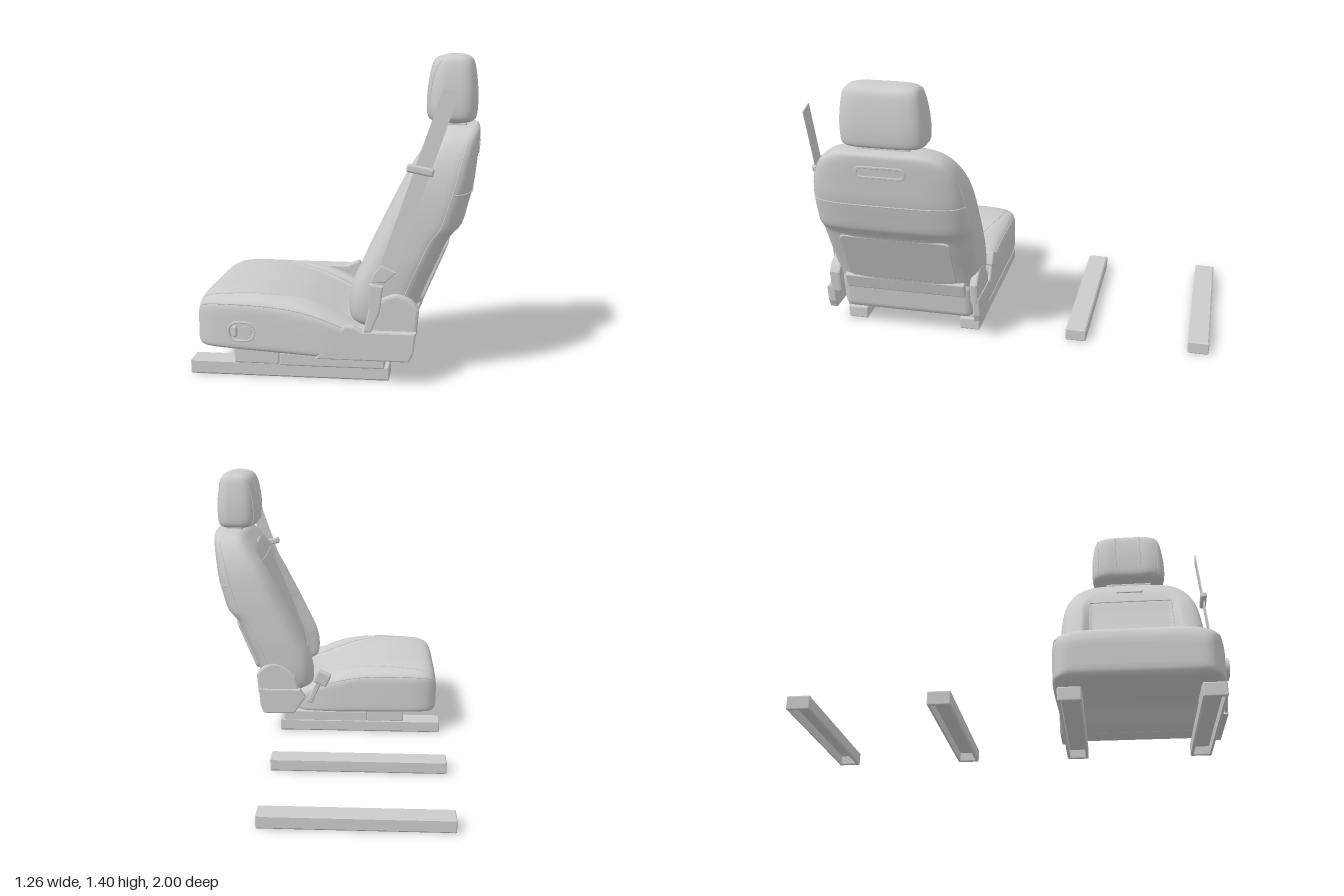
import * as THREE from 'three';
import { RoundedBoxGeometry } from 'three/addons/geometries/RoundedBoxGeometry.js';

const V = (x, y, z) => new THREE.Vector3(x, y, z);
const MID = 0.55; // z of the seat's centre plane
const smooth = THREE.MathUtils.smoothstep;

// Padded body: rows of [a, lo, hi, halfWidth, dent, insertHalfWidth] along an axis.
// The lo side carries a dented insert between two bolsters, the hi side may be hollowed.
class Body {
  constructor(rows, { nLo, nHi, hollow = () => 0, place = (v, a, w) => V(v, a, MID + w) }) {
    Object.assign(this, { rows, nLo, nHi, hollow, place });
  }
  rowAt(t) {
    const R = this.rows, last = R.length - 1, i = Math.min(Math.floor(t), last - 1), f = t - i;
    const at = k => R[Math.max(0, Math.min(last, k))];
    return R[i].map((p, c) => {
      const q = R[i + 1][c], m0 = (q - at(i - 1)[c]) / 2, m1 = (at(i + 2)[c] - p) / 2;
      return (2 * f ** 3 - 3 * f * f + 1) * p + (f ** 3 - 2 * f * f + f) * m0
        + (3 * f * f - 2 * f ** 3) * q + (f ** 3 - f * f) * m1;
    });
  }
  rowFor(a) {
    let i = 0;
    while (i < this.rows.length - 2 && this.rows[i + 1][0] < a) i++;
    return this.rowAt(i + (a - this.rows[i][0]) / (this.rows[i + 1][0] - this.rows[i][0]));
  }
  shape([a, lo, hi, hw, dent, ins], w, v) {
    const insert = 1 - smooth(Math.abs(w), ins - 0.015, ins + 0.045);
    const inner = 1 - smooth(Math.abs(w), hw * 0.9, hw * 0.97);
    return this.place(v + (v < (lo + hi) / 2 ? dent * insert : -this.hollow(a) * inner), a, w);
  }
  // Surface point at station a and offset w; side -1 = lo, 1 = hi
  point(a, w, side) {
    const r = this.rowFor(a), n = side < 0 ? this.nLo : this.nHi;
    const k = Math.max(0, 1 - Math.abs(w / r[3]) ** n) ** (1 / n);
    return this.shape(r, w, (r[1] + r[2]) / 2 + side * k * (r[2] - r[1]) / 2);
  }
  geometry(seg = 160, steps = 6) {
    const pos = [], idx = [], N = (this.rows.length - 1) * steps;
    for (let i = 0; i <= N; i++) {
      const r = this.rowAt(i / steps);
      for (let j = 0; j < seg; j++) {
        const t = j / seg * Math.PI * 2, c = Math.cos(t), s = Math.sin(t), e = 2 / (s < 0 ? this.nLo : this.nHi);
        const w = r[3] * Math.sign(c) * Math.abs(c) ** e;
        const v = (r[1] + r[2]) / 2 + (r[2] - r[1]) / 2 * Math.sign(s) * Math.abs(s) ** e;
        pos.push(...this.shape(r, w, v).toArray());
        const j2 = (j + 1) % seg, A = i * seg + j, B = i * seg + j2;
        if (i < N) idx.push(A, B, A + seg, B, B + seg, A + seg);
      }
    }
    for (const i of [0, N]) { // end caps
      const r = this.rowAt(i / steps), C = pos.length / 3;
      pos.push(...this.place((r[1] + r[2]) / 2, r[0], 0).toArray());
      for (let j = 0; j < seg; j++) {
        const A = i * seg + j, B = i * seg + (j + 1) % seg;
        idx.push(C, ...(i ? [A, B] : [B, A]));
      }
    }
    const g = new THREE.BufferGeometry();
    g.setAttribute('position', new THREE.Float32BufferAttribute(pos, 3));
    g.setIndex(idx);
    g.computeVertexNormals();
    return g;
  }
}

export function createModel() {
  const group = new THREE.Group();
  const mat = new THREE.MeshStandardMaterial({ color: 0xcccccc, roughness: 0.8 });
  const add = (name, geo, x = 0, y = 0, z = 0, rx = 0, ry = 0, rz = 0) => {
    const m = new THREE.Mesh(geo, mat);
    m.name = name;
    m.position.set(x, y, z);
    m.rotation.set(rx, ry, rz);
    group.add(m);
    return m;
  };
  const box = (w, h, d, r = 0.008) => new RoundedBoxGeometry(w, h, d, 3, r);
  const poly = pts => new THREE.Shape(pts.map(p => new THREE.Vector2(...p)));
  // Plate between z0 and z1 with softened edges
  const plate = (shape, z0, z1, b = 0.006) => new THREE.ExtrudeGeometry(shape, {
    depth: z1 - z0 - 2 * b, bevelSize: b, bevelThickness: b, bevelOffset: -b, bevelSegments: 2, curveSegments: 10,
  }).translate(0, 0, z0 + b);
  const rounded = (w, h, r, P = THREE.Shape) => {
    const s = new P(), a = w / 2 - r, b = h / 2 - r;
    s.absarc(a, b, r, 0, Math.PI / 2).absarc(-a, b, r, Math.PI / 2, Math.PI);
    s.absarc(-a, -b, r, Math.PI, Math.PI * 1.5).absarc(a, -b, r, Math.PI * 1.5, Math.PI * 2);
    return s;
  };
  const seam = (name, pts, r = 0.004) =>
    add(name, new THREE.TubeGeometry(new THREE.CatmullRomCurve3(pts), 60, r, 6));
  const span = (a, b, n, f) => Array.from({ length: n + 1 }, (_, i) => f(a + (b - a) * i / n));

  // Floor rails: channels open underneath, closed at both ends
  const rail = poly([[-0.046, 0], [-0.04, 0], [-0.04, 0.045], [0.04, 0.045], [0.04, 0], [0.046, 0],
    [0.053, 0.007], [0.053, 0.058], [0.046, 0.065], [-0.046, 0.065], [-0.053, 0.058], [-0.053, 0.007]]);
  const railGeo = new THREE.ExtrudeGeometry(rail, { depth: 0.86, bevelEnabled: false }).rotateY(Math.PI / 2);
  for (const z of [0.863, 0.243, -0.322, -0.947]) {
    add('floorRail', railGeo, -0.62, 0, z);
    for (const x of [-0.622, 0.242]) add('railEnd', box(0.016, 0.065, 0.106, 0.007), x, 0.0325, z);
  }

  // Risers between rails and seat
  for (const z of [0.875, 0.243]) {
    add('frontRiser', box(0.2, 0.07, 0.1), -0.33, 0.095, z);
    add('rearRiser', box(0.46, 0.06, 0.1), 0, 0.085, z);
  }

  // Cushion, lofted from front to rear, slightly skewed in plan
  const cushion = new Body([
    [-0.61, -0.27, -0.17, 0.28, 0, 0.25], [-0.605, -0.305, -0.14, 0.315, 0, 0.28],
    [-0.585, -0.343, -0.121, 0.345, 0, 0.3], [-0.54, -0.363, -0.119, 0.372, 0, 0.31],
    [-0.45, -0.371, -0.117, 0.388, 0.002, 0.31], [-0.32, -0.373, -0.115, 0.397, 0.008, 0.295],
    [-0.17, -0.36, -0.112, 0.402, 0.024, 0.265], [-0.06, -0.332, -0.11, 0.405, 0.036, 0.25],
    [0.04, -0.288, -0.11, 0.4, 0.035, 0.245], [0.12, -0.25, -0.11, 0.385, 0.015, 0.245],
    [0.2, -0.235, -0.12, 0.34, 0, 0.245],
  ], { nLo: 5.2, nHi: 14, hollow: a => 0.1 * smooth(a, -0.5, -0.3) * (1 - smooth(a, 0, 0.2)),
    place: (v, a, w) => V(a, -v, 0.578 + 0.065 * a + w) });
  add('cushion', cushion.geometry());
  for (const s of [-1, 1]) {
    seam('cushionSeam', span(-0.58, 0.08, 24, a => cushion.point(a, s * (cushion.rowFor(a)[5] + 0.01), -1)), 0.003);
    seam('bolsterPiping', span(-0.58, 0.05, 24, a => cushion.point(a, s * cushion.rowFor(a)[3] * 0.98, -1)), 0.003);
  }

  // Backrest, lofted from bottom to top
  const back = new Body([
    [0.235, 0.095, 0.345, 0.34, 0.04, 0.235], [0.265, 0.06, 0.358, 0.365, 0.08, 0.235],
    [0.34, 0.053, 0.385, 0.38, 0.093, 0.24], [0.43, 0.072, 0.422, 0.386, 0.088, 0.24],
    [0.52, 0.114, 0.462, 0.39, 0.08, 0.24], [0.61, 0.158, 0.502, 0.39, 0.07, 0.238],
    [0.645, 0.175, 0.528, 0.39, 0.065, 0.235], [0.68, 0.193, 0.557, 0.39, 0.06, 0.233],
    [0.76, 0.235, 0.58, 0.388, 0.052, 0.23], [0.85, 0.283, 0.602, 0.38, 0.04, 0.228],
    [0.93, 0.333, 0.612, 0.364, 0.02, 0.225], [1.0, 0.388, 0.62, 0.336, 0, 0.2],
    [1.05, 0.428, 0.625, 0.298, 0, 0.17], [1.08, 0.455, 0.624, 0.245, 0, 0.14],
    [1.094, 0.485, 0.61, 0.18, 0, 0.1],
  ], { nLo: 4, nHi: 4 });
  add('backrest', back.geometry());
  for (const s of [-1, 1]) {
    seam('insertPiping', span(0.3, 0.93, 30, a => back.point(a, s * back.rowFor(a)[5], -1)));
    seam('sideSeam', span(0.36, 1.05, 30, a => back.point(a, s * back.rowFor(a)[3] * 0.985, 1)), 0.003);
  }
  seam('insertTopPiping', span(-0.225, 0.225, 16, w => back.point(0.93, w, -1)));
  seam('backSeam', span(-0.375, 0.375, 40, w => back.point(0.82, w, 1)), 0.004);
  const slot = back.point(1.01, 0, -1);
  add('frontSlot', box(0.012, 0.022, 0.15, 0.005), slot.x, slot.y, MID, 0, 0, -0.65);

  // Map pocket and oval handle frame on the rear
  const pocket = add('mapPocket', plate(rounded(0.57, 0.3, 0.035), -0.03, 0.005), 0.437, 0.47, MID, 0, Math.PI / 2);
  pocket.rotation.order = 'ZYX';
  pocket.rotation.z = -0.4;
  const frame = rounded(0.25, 0.065, 0.03);
  frame.holes.push(rounded(0.22, 0.038, 0.018, THREE.Path));
  const handle = add('rearHandleFrame', plate(frame, -0.01, 0.006, 0.003), 0.618, 1.0, MID, 0, Math.PI / 2);
  handle.rotation.order = 'ZYX';
  handle.rotation.z = -0.11;

  // Lower rear roll and band
  add('lowerRearPanel', box(0.16, 0.215, 0.7, 0.045), 0.268, 0.222, MID, 0, 0, -0.12);
  add('lowerRearBand', box(0.03, 0.09, 0.64, 0.012), 0.352, 0.287, MID, 0, 0, -0.3);

  // Headrest on two posts
  const head = new Body([
    [1.103, 0.45, 0.56, 0.15, 0, 0.07], [1.113, 0.41, 0.595, 0.19, 0, 0.07],
    [1.14, 0.388, 0.61, 0.206, 0.004, 0.07], [1.22, 0.386, 0.614, 0.207, 0.006, 0.07],
    [1.3, 0.395, 0.608, 0.198, 0.006, 0.07], [1.36, 0.412, 0.598, 0.185, 0.003, 0.07],
    [1.388, 0.437, 0.58, 0.165, 0, 0.07], [1.4, 0.475, 0.545, 0.12, 0, 0.07],
  ], { nLo: 3.4, nHi: 4 });
  add('headrest', head.geometry(88));
  for (const s of [-1, 1]) {
    seam('headrestSeam', span(1.12, 1.39, 20, a => head.point(a, s * 0.07, -1)), 0.003);
    seam('headrestSideSeam', span(1.13, 1.37, 20, a => head.point(a, s * 0.17, -1)), 0.003);
    add('headrestPost', new THREE.CylinderGeometry(0.013, 0.013, 0.1, 16), 0.52, 1.09, MID + s * 0.08);
  }
  add('headrestCollar', box(0.09, 0.02, 0.26), 0.52, 1.095, MID);

  // Hinge covers on both sides; long shield outside, short bracket inside
  const hinge = new THREE.Shape();
  hinge.moveTo(0.14, 0.22).lineTo(0.165, 0.32);
  hinge.quadraticCurveTo(0.21, 0.385, 0.28, 0.397).quadraticCurveTo(0.34, 0.39, 0.378, 0.33);
  hinge.lineTo(0.368, 0.22);
  add('hingeCover', plate(hinge, 0.895, 0.955, 0.012));
  add('hingeCover', plate(hinge, 0.163, 0.205, 0.012));
  add('baseShield', plate(poly([[-0.065, 0.11], [0.34, 0.108], [0.358, 0.15], [0.367, 0.238],
    [0.14, 0.238], [0.1, 0.258], [0.065, 0.262]]), 0.935, 0.98, 0.008));
  add('innerBracket', plate(poly([[0.17, 0.11], [0.34, 0.108], [0.358, 0.15], [0.367, 0.25],
    [0.14, 0.25], [0.11, 0.2]]), 0.157, 0.195, 0.008));

  // Adjuster controls on the outer side
  const bezel = rounded(0.125, 0.09, 0.044);
  bezel.holes.push(rounded(0.108, 0.073, 0.036, THREE.Path));
  add('controlBezel', plate(bezel, 0, 0.035, 0.003), -0.39, 0.21, 0.92);
  add('controlDial', new THREE.CylinderGeometry(0.026, 0.028, 0.04, 28), -0.372, 0.21, 0.938, Math.PI / 2);
  add('controlLever', box(0.02, 0.05, 0.035), -0.42, 0.21, 0.937);

  // Seat belt, slider, tongue and anchor
  add('beltStrap', new THREE.BoxGeometry(0.068, 0.8, 0.005), 0.371, 0.878, 0.957, -0.04, 0, -0.33);
  add('beltSlider', box(0.115, 0.035, 0.035, 0.01), 0.378, 0.93, 0.954, 0, 0, -0.2);
  add('beltTongue', plate(poly([[0.178, 0.455], [0.235, 0.455], [0.282, 0.5], [0.218, 0.53], [0.187, 0.49]]), 0.967, 0.985, 0.004));
  add('beltAnchor', plate(poly([[0.145, 0.24], [0.178, 0.24], [0.215, 0.33], [0.228, 0.44], [0.17, 0.45], [0.168, 0.34]]), 0.965, 0.995));

  // Buckle on the inner side
  add('buckle', box(0.08, 0.075, 0.045, 0.01), 0.018, 0.312, 0.18, 0, 0, 0.42);
  add('buckleStalk', box(0.03, 0.14, 0.018), 0.06, 0.235, 0.175, 0, 0, 0.42);

  return group;
}
